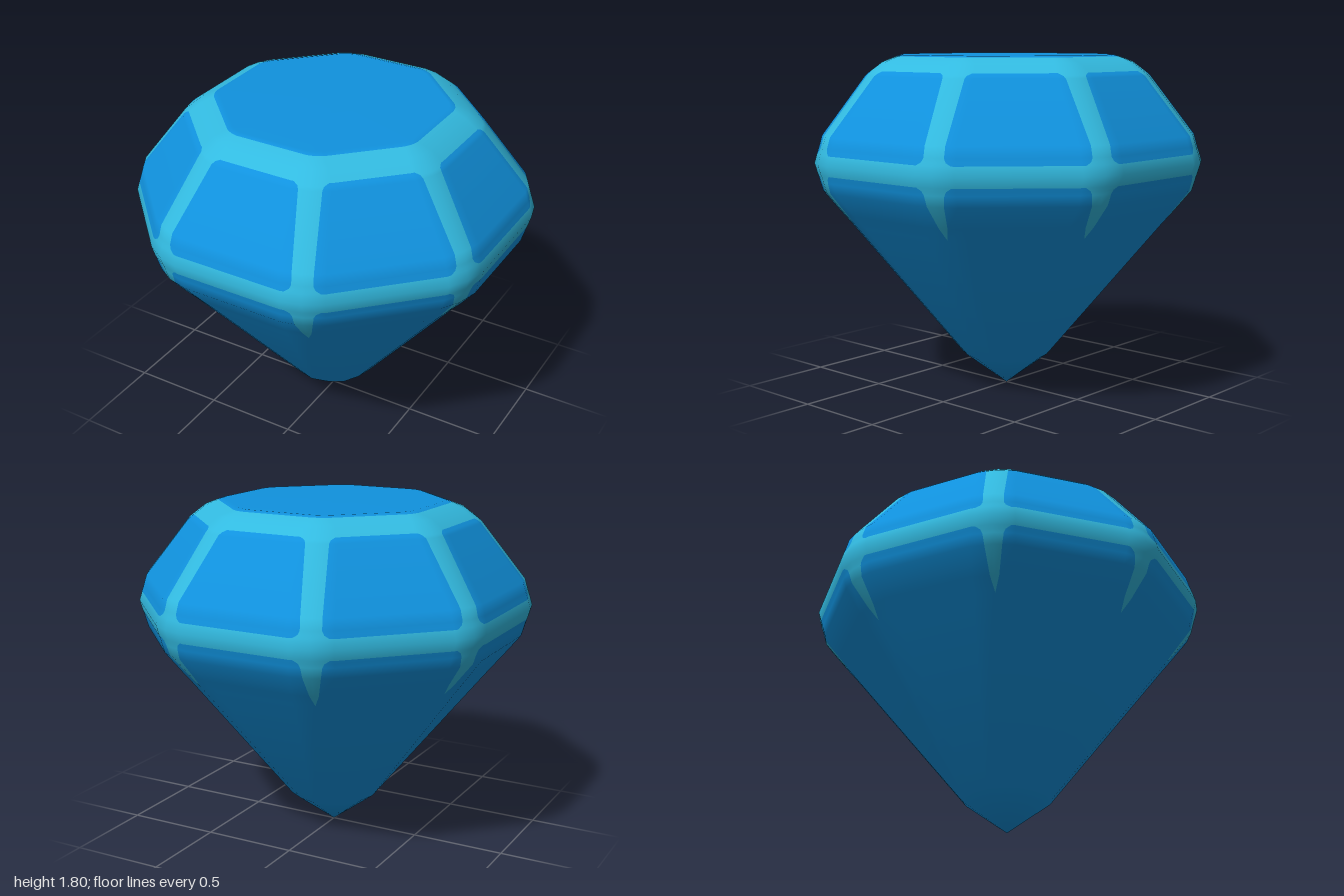
import * as THREE from 'three';

const PLAIN = 0, CORNERS = 1, BAND = 2;

// Cross-sections from tip to table:
// [distance to side, height, half-width of corner strip, corner bevel, colouring of the strip above]
const rows = [
  [0, 0, 0, 0.1, PLAIN],
  [0.24, 0.18, 0, 0.1, PLAIN],
  [0.82, 0.935, 0, 0.105, CORNERS],
  [0.872, 1.0, 0.022, 0.105, CORNERS],
  [0.96, 1.115, 0.042, 0.105, CORNERS],
  [0.975, 1.17, 0.05, 0.105, CORNERS],
  [0.98, 1.19, 0.06, 0.105, CORNERS],
  [0.986, 1.207, 0.085, 0.105, BAND],
  [1, 1.26, 0.085, 0.105, BAND],
  [0.986, 1.31, 0.085, 0.105, CORNERS],
  [0.981, 1.325, 0.06, 0.105, CORNERS],
  [0.975, 1.345, 0.05, 0.105, CORNERS],
  [0.96, 1.4, 0.05, 0.105, CORNERS],
  [0.74, 1.7, 0.055, 0.095, CORNERS],
  [0.725, 1.713, 0.06, 0.095, CORNERS],
  [0.71, 1.725, 0.08, 0.09, BAND],
  [0.65, 1.77, 0.05, 0.07, BAND],
  [0.578, 1.797, 0.03, 0.04, PLAIN],
  [0.55, 1.805, 0.03, 0.04, PLAIN],
  [0, 1.805, 0, 0.04, PLAIN],
];
const SIDES = 8, PER_SIDE = 5, COLS = SIDES * PER_SIDE;
const T = Math.tan(Math.PI / SIDES);

export function createModel() {
  const positions = [], normals = [];

  rows.forEach(([a, y, strip, bevel], r) => {
    // vertical tilt of the normal, mirrored across the axis at both poles
    const prev = rows[r - 1] ?? [-rows[1][0], rows[1][1]];
    const next = rows[r + 1] ?? [-rows[r - 1][0], rows[r - 1][1]];
    const tilt = new THREE.Vector2(next[1] - prev[1], prev[0] - next[0]).normalize();

    // bevelled octagon: flat side, panel edge, corner
    const b = Math.min(bevel, a * T * 0.9);
    const cut = 0.26 * b;
    const corner = (a - cut) * T;
    const flat = Math.max(corner - b, 0);
    const edge = corner - Math.min(strip, corner - flat);
    for (let k = 0; k < SIDES; k++) {
      const phi = (k * 2 * Math.PI) / SIDES;
      const sin = Math.sin(phi), cos = Math.cos(phi);
      for (const t of [-corner, -edge, -flat, flat, edge]) {
        const s = (Math.abs(t) - flat) / (corner - flat || 1);
        const d = a - cut * s;
        const turn = phi + Math.sign(t) * s * Math.PI / SIDES;
        positions.push(sin * d + cos * t, y, cos * d - sin * t);
        normals.push(Math.sin(turn) * tilt.x, tilt.y, Math.cos(turn) * tilt.x);
      }
    }
  });

  // sort the quads into panels and light edge strips
  const panels = [], strips = [];
  for (let r = 0; r < rows.length - 1; r++) {
    const mode = rows[r][4];
    for (let j = 0; j < COLS; j++) {
      const c = j % PER_SIDE;
      const light = mode === BAND || (mode === CORNERS && (c === 0 || c === PER_SIDE - 1));
      const p = r * COLS + j, q = r * COLS + (j + 1) % COLS;
      const list = light ? strips : panels;
      if (r > 0) list.push(p, q, q + COLS);
      if (r < rows.length - 2) list.push(p, q + COLS, p + COLS);
      else list.push(p, q, p + COLS);
    }
  }

  const position = new THREE.Float32BufferAttribute(positions, 3);
  const normal = new THREE.Float32BufferAttribute(normals, 3);
  const gem = new THREE.Group();
  gem.name = 'gem';
  const addPart = (name, index, colorName, color) => {
    const geometry = new THREE.BufferGeometry();
    geometry.setAttribute('position', position);
    geometry.setAttribute('normal', normal);
    geometry.setIndex(index);
    const material = new THREE.MeshStandardMaterial({ color });
    material.name = colorName;
    const mesh = new THREE.Mesh(geometry, material);
    mesh.name = name;
    gem.add(mesh);
  };
  addPart('facetPanels', panels, 'deepBlue', 0x1092de);
  addPart('edgeStrips', strips, 'lightBlue', 0x32bae0);
  return gem;
}
